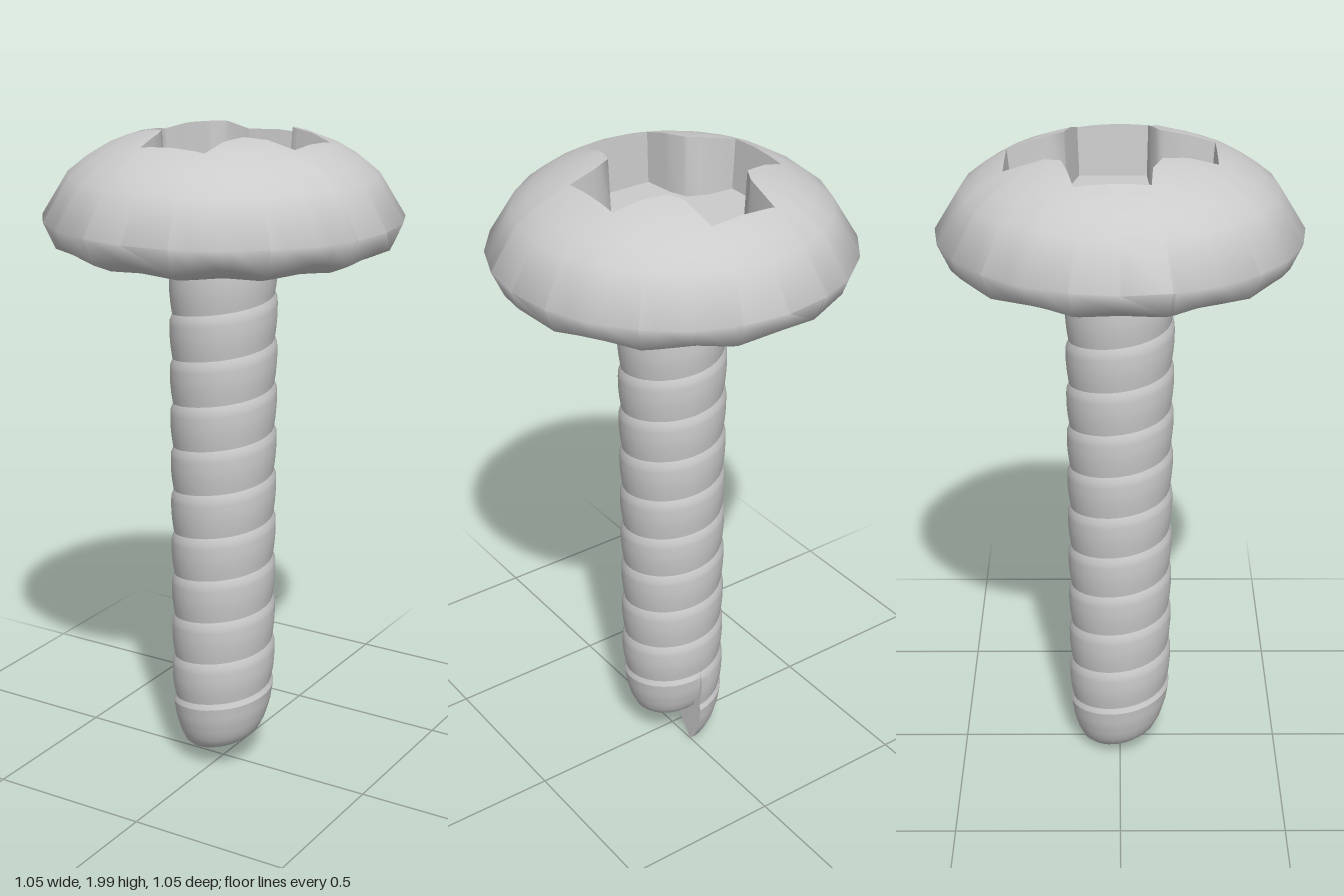
import * as THREE from 'three';
import { toCreasedNormals } from 'three/addons/utils/BufferGeometryUtils.js';

const material = new THREE.MeshStandardMaterial({ color: 0xcccccc, side: THREE.DoubleSide });

// Skin a list of equally long rows of [x, y, z] points
function skin(rows, crease) {
  const n = rows[0].length, index = [];
  for (let j = 0; j < rows.length - 1; j++) {
    for (let i = 0; i < n - 1; i++) {
      const a = j * n + i, b = a + n;
      index.push(a, b, b + 1, a, b + 1, a + 1);
    }
  }
  const geo = new THREE.BufferGeometry();
  geo.setAttribute('position', new THREE.Float32BufferAttribute(rows.flat(2), 3));
  geo.setIndex(index);
  return toCreasedNormals(geo, crease);
}

// Piecewise linear lookup in a list of [input, output]
function lookup(table, t) {
  for (let k = 1; k < table.length; k++) {
    const [a, va] = table[k - 1], [b, vb] = table[k];
    if (t <= b) return va + (vb - va) * Math.max(0, (t - a) / (b - a));
  }
  return table[table.length - 1][1];
}

function mesh(name, geo) {
  const m = new THREE.Mesh(geo, material);
  m.name = name;
  return m;
}

// Domed 24-sided head with a cross-shaped recess
function headGeometry() {
  const half = [[0.1, 0.26], [0.11, 0.165], [0.13, 0.11], [0.19, 0.085], [0.27, 0.08],
    [0.27, -0.12], [0.2, -0.137], [0.13, -0.155], [0.107, -0.2], [0.1, -0.31]];
  const cross = [...half, ...half.map(([x, z]) => [-x, z]).reverse()];
  const dome = [[0, 2], [0.16, 2], [0.25, 1.985], [0.34, 1.95], [0.45, 1.875], [0.527, 1.75]];
  const step = Math.PI / 12, turn = Math.PI * 2;

  // Distance from the axis to the cross outline
  const crossRadius = (a) => {
    const dx = Math.sin(a), dz = Math.cos(a);
    let best = 0;
    cross.forEach(([x, z], k) => {
      const [x2, z2] = cross[(k + 1) % cross.length];
      const ex = x2 - x, ez = z2 - z, den = dx * ez - dz * ex;
      if (Math.abs(den) < 1e-9) return;
      const r = (x * ez - z * ex) / den, s = (x * dz - z * dx) / den;
      if (r > 0 && s > -1e-6 && s < 1 + 1e-6) best = Math.max(best, r);
    });
    return best;
  };
  const gon = (a) => Math.cos(step / 2) / Math.cos((a % step) - step / 2);

  const angles = cross.map(([x, z]) => (Math.atan2(x, z) + turn) % turn);
  for (let i = 0; i <= 24; i++) angles.push(i * step);
  angles.sort((p, q) => p - q);

  const ring = (f) => angles.map((a) => {
    const [r, y] = f(a);
    return [r * Math.sin(a), y, r * Math.cos(a)];
  });
  const slope = (t) => (a) => {
    const r = THREE.MathUtils.lerp(crossRadius(a) * 1.04, 0.34 * gon(a), t);
    return [r, lookup(dome, r)];
  };
  const wave = (a) => Math.cos(a * 12);
  return skin([
    ring(() => [0, 1.82]),
    ring((a) => [crossRadius(a), 1.82]),
    ...[0, 0.33, 0.67, 1].map((t) => ring(slope(t))),
    ring((a) => [0.4 * gon(a), 1.915]),
    ring((a) => [0.45 * gon(a), 1.875]),
    ring((a) => [0.527 * gon(a), 1.75]),
    ring((a) => [(0.5 + 0.008 * wave(a)) * gon(a), 1.685 + 0.012 * wave(a)]),
    ring((a) => [0.43 * gon(a), 1.652 + 0.005 * wave(a)]),
    ring(() => [0.13, 1.625]),
  ], 1.0);
}

// Shaft: rows follow a helix, so the thread and the curled tip share one rise
const pitch = 0.137, perTurn = 8, columns = 32;
const taper = [[0, 0.62], [0.017, 0.74], [0.05, 0.84], [0.1, 0.93], [0.16, 0.985], [0.22, 1]];
const thread = [[0, 0.152], [0.25, 0.157], [0.5, 0.16], [0.87, 0.16], [1, 0.152]];
const shaftRadius = (h) => {
  const f = (((h - 0.307) / pitch) % 1 + 1) % 1;
  return lookup(taper, h) * (h < 0.17 ? 0.16 : lookup(thread, f));
};

function shaftRows() {
  const rows = [];
  const helix = (h, scale = 1, lift = 0) => {
    const row = [];
    for (let i = 0; i <= columns; i++) {
      const a = -Math.PI + (i / columns) * Math.PI * 2, r = shaftRadius(h) * scale;
      const y = THREE.MathUtils.lerp(pitch * i / columns + h + 0.005, 0.14, lift);
      row.push([r * Math.sin(a), y, r * Math.cos(a)]);
    }
    return row;
  };
  for (let k = 96; k >= 0; k--) rows.push(helix(k * pitch / perTurn));
  return { side: rows, tip: [helix(0), helix(0, 0.75, 0.25), helix(0, 0.4, 0.7), helix(0, 0, 1)] };
}

// Step in the tip where the curl starts and ends
function stepGeometry() {
  const outer = [], inner = [];
  for (let k = 0; k <= 20; k++) {
    const h = k * pitch / perTurn, r = shaftRadius(h);
    outer.push(new THREE.Vector2(r, h + 0.005));
    if (k <= 12) inner.push(new THREE.Vector2(r - 0.0005, h + pitch + 0.005));
  }
  const shape = new THREE.Shape([...outer, ...inner.reverse(), new THREE.Vector2(0, 0.14)]);
  return new THREE.ShapeGeometry(shape).rotateY(Math.PI / 2);
}

export function createModel() {
  const group = new THREE.Group();
  group.name = 'screw';
  const { side, tip } = shaftRows();
  group.add(
    mesh('head', headGeometry()),
    mesh('threadedShaft', skin(side, 0.5)),
    mesh('hollowTip', skin(tip, 0.8)),
    mesh('tipStep', stepGeometry()),
  );
  return group;
}
